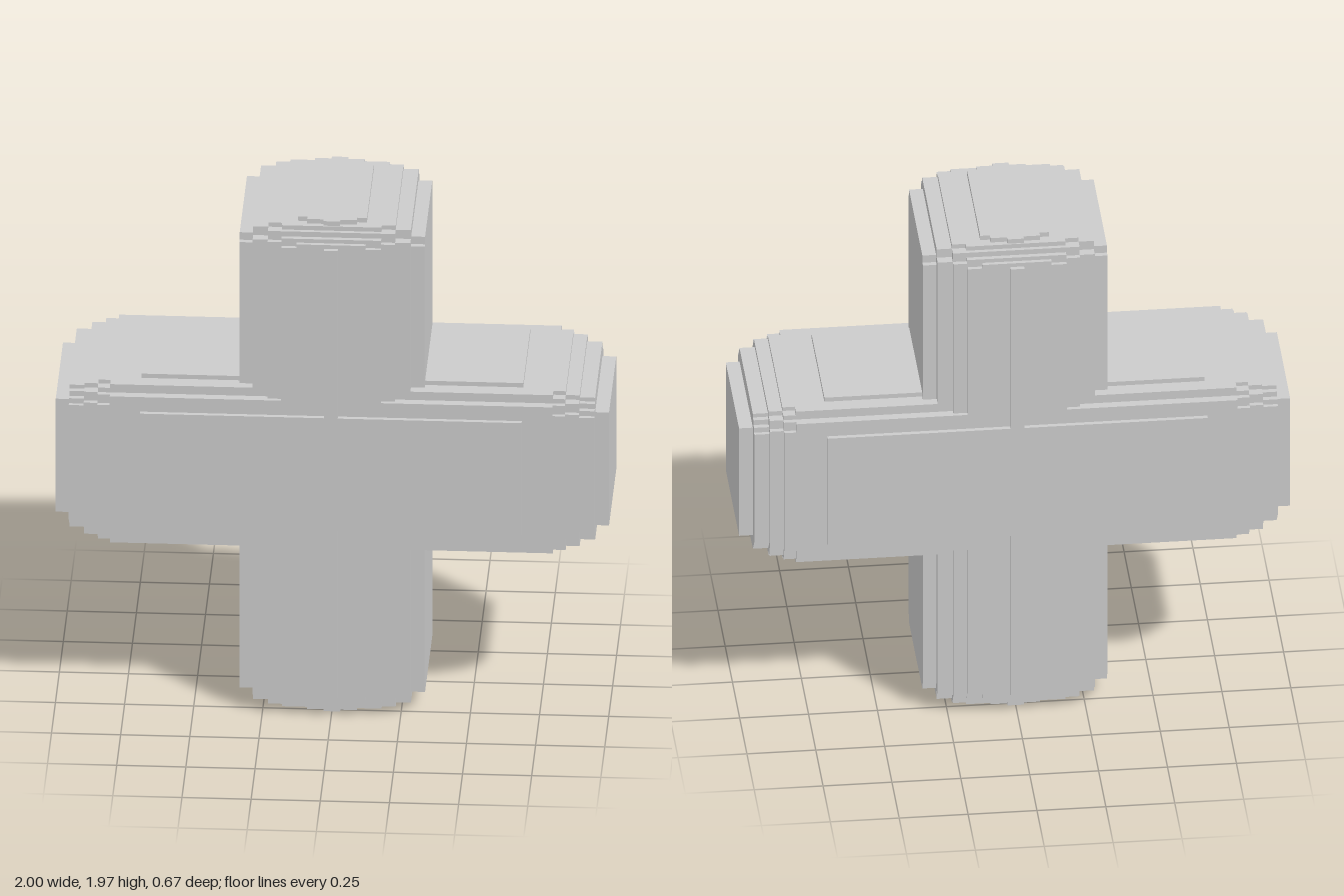
import * as THREE from 'three';

const CENTRE_Y = 0.985;

export function createModel() {
  const model = new THREE.Group();
  model.name = 'steppedCross';
  const material = new THREE.MeshStandardMaterial({ color: 0xcccccc, flatShading: true });

  // Each bar is a nest of concentric blocks given by half sizes [x, y, z].
  function addBar(name, blocks) {
    const bar = new THREE.Group();
    bar.name = name;
    bar.position.y = CENTRE_Y;
    blocks.forEach(([x, y, z], i) => {
      const block = new THREE.Mesh(new THREE.BoxGeometry(2 * x, 2 * y, 2 * z), material);
      block.name = `${name}Layer${i + 1}`;
      bar.add(block);
    });
    model.add(bar);
  }

  // Horizontal bar: square section, each layer used in both orientations.
  const layers = [
    [0.69, 0.227, 0.335],
    [0.80, 0.285, 0.318],
    [0.845, 0.25, 0.318],
    [0.845, 0.285, 0.303],
    [0.895, 0.25, 0.303],
    [0.895, 0.285, 0.285],
    [0.95, 0.23, 0.285],
    [0.95, 0.25, 0.27],
  ];
  const tip = [1.0, 0.227, 0.23];
  addBar('horizontalBar', [...layers, ...layers.map(([x, a, b]) => [x, b, a]), tip]);

  // Vertical bar: narrow ridges on front and back, stepped domes at both ends.
  addBar('verticalBar', [
    // front and back ridges
    [0.025, 0.90, 0.335],
    [0.125, 0.915, 0.318],
    [0.18, 0.90, 0.318],
    [0.18, 0.93, 0.303],
    [0.23, 0.915, 0.303],
    // stepped side faces
    [0.285, 0.915, 0.285],
    [0.335, 0.885, 0.25],
    [0.335, 0.915, 0.23],
    // top and bottom caps
    [0.23, 0.95, 0.285],
    [0.285, 0.95, 0.25],
    [0.23, 0.967, 0.25],
    [0.18, 0.967, 0.27],
    [0.125, 0.985, 0.23],
    [0.09, 0.985, 0.25],
    [0.03, 0.985, 0.265],
  ]);

  return model;
}
